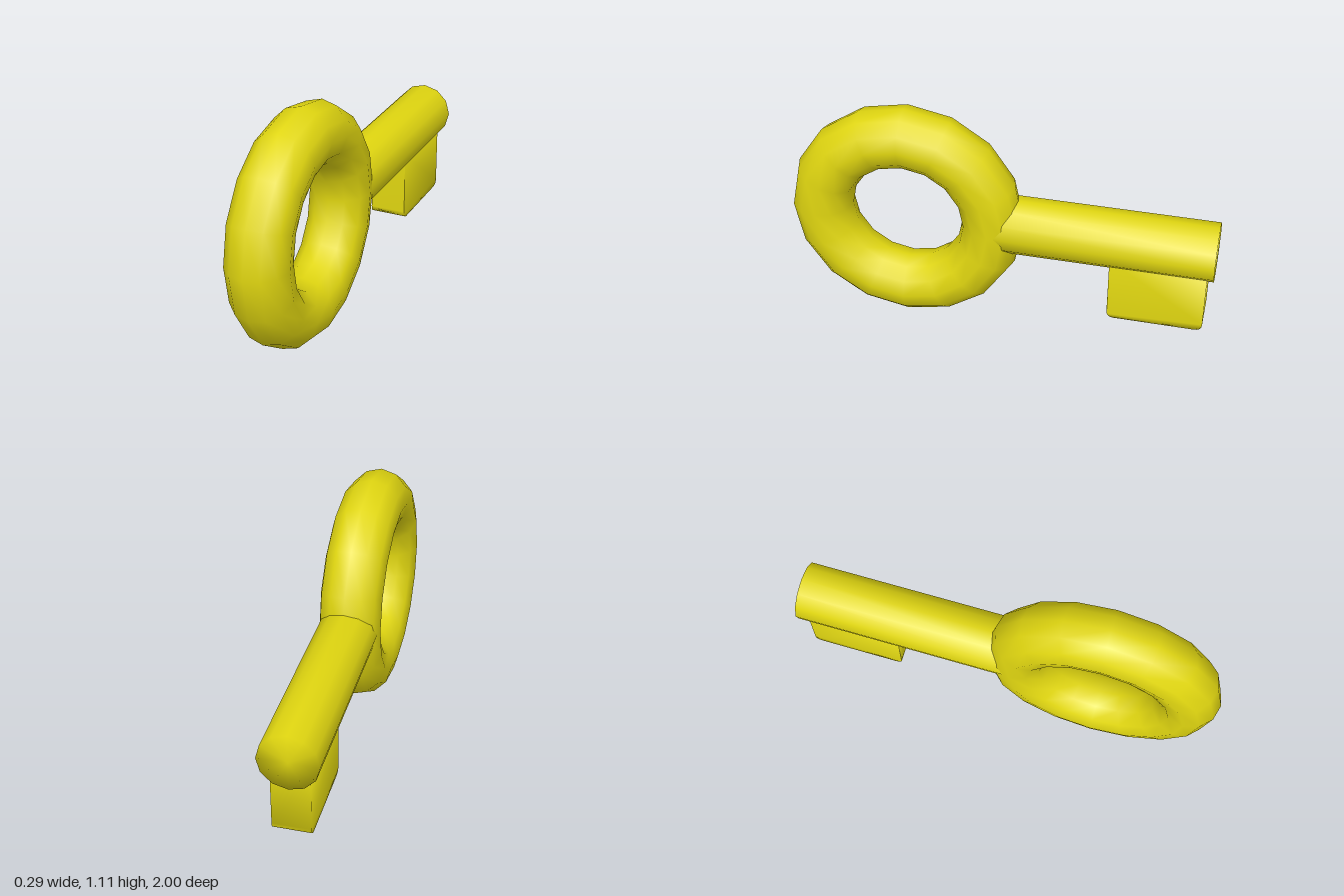
import * as THREE from 'three';
import { mergeVertices } from 'three/addons/utils/BufferGeometryUtils.js';

const AXIS_Y = 0.56;

// Share vertices across edges so the shading runs softly over them
function soften(geometry) {
  geometry.deleteAttribute('normal');
  geometry.deleteAttribute('uv');
  const merged = mergeVertices(geometry, 1e-4);
  merged.computeVertexNormals();
  return merged;
}

export function createModel() {
  const group = new THREE.Group();
  group.name = 'key';
  const material = new THREE.MeshStandardMaterial({ color: 0xe0d610 });

  const add = (name, geometry) => {
    const mesh = new THREE.Mesh(geometry, material);
    mesh.name = name;
    group.add(mesh);
    return mesh;
  };

  // Ring handle, standing in the YZ plane
  const ring = add('ringHandle', new THREE.TorusGeometry(0.41, 0.145, 12, 16));
  ring.rotation.y = Math.PI / 2;
  ring.position.set(0, AXIS_Y, 0.445);

  // Shaft running back from inside the ring's tube
  const front = 0.03, back = -1;
  const shaftGeometry = soften(new THREE.CylinderGeometry(0.137, 0.137, front - back, 12));
  shaftGeometry.rotateX(Math.PI / 2);
  add('shaft', shaftGeometry).position.set(0, AXIS_Y, (front + back) / 2);

  // Bit: side profile (z, y) with rounded lower corners, extruded across x
  const z0 = -0.97, z1 = -0.525, y0 = 0.163, y1 = 0.5, r = 0.035, width = 0.176;
  const profile = new THREE.Shape();
  profile.moveTo(-z1, y1);
  profile.lineTo(-z0, y1);
  profile.lineTo(-z0, y0 + r);
  profile.quadraticCurveTo(-z0, y0, -z0 - r, y0);
  profile.lineTo(-z1 + r, y0);
  profile.quadraticCurveTo(-z1, y0, -z1, y0 + r);
  profile.closePath();
  const bitGeometry = new THREE.ExtrudeGeometry(profile, { depth: width, bevelEnabled: false, curveSegments: 4 });
  bitGeometry.translate(0, 0, -width / 2);
  bitGeometry.rotateY(Math.PI / 2);
  add('bit', soften(bitGeometry));

  return group;
}
